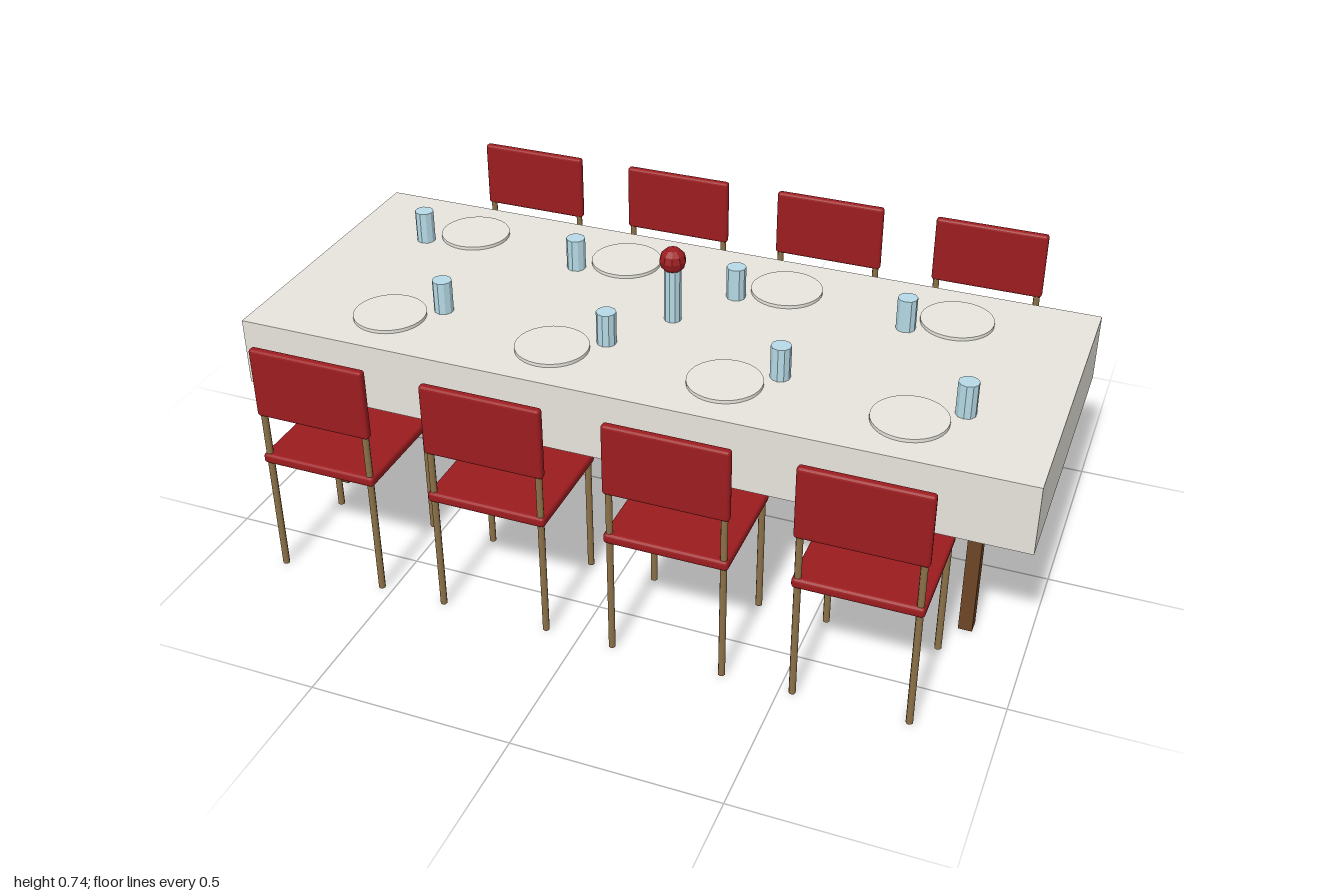
import * as THREE from 'three';
import { RoundedBoxGeometry } from 'three/addons/geometries/RoundedBoxGeometry.js';

const mat = (name, color, extra = {}) => {
  const m = new THREE.MeshStandardMaterial({ color, ...extra });
  m.name = name;
  return m;
};

export function createModel() {
  const linen = mat('linen', 0xe7e4dd, { side: THREE.DoubleSide });
  const china = mat('china', 0xe7e5dd);
  const wood = mat('wood', 0x6d4526);
  const brass = mat('brass', 0x8c7148);
  const red = mat('red', 0x9b1c1f, { flatShading: true });
  const glass = mat('glass', 0xb6dae6, { flatShading: true });

  const model = new THREE.Group();
  model.name = 'diningSet';

  const add = (parent, name, geometry, material, x, y, z) => {
    const mesh = new THREE.Mesh(geometry, material);
    mesh.name = name;
    mesh.position.set(x, y, z);
    parent.add(mesh);
    return mesh;
  };

  // Tablecloth: a box shell with its bottom face left out
  const clothShape = new THREE.BoxGeometry(2, 0.179, 0.79);
  const faces = Array.from(clothShape.index.array);
  faces.splice(18, 6);
  clothShape.setIndex(faces);
  clothShape.clearGroups();
  add(model, 'tablecloth', clothShape, linen, 0, 0.4505, 0);

  // Table board and legs under the cloth
  add(model, 'tableBoard', new THREE.BoxGeometry(1.78, 0.02, 0.58), wood, 0, 0.525, 0);
  const tableLeg = new THREE.BoxGeometry(0.034, 0.52, 0.036);
  for (const x of [-0.85, 0.85]) {
    for (const z of [-0.247, 0.247]) add(model, 'tableLeg', tableLeg, wood, x, 0.26, z);
  }

  // Shared chair and place-setting shapes
  const seat = new RoundedBoxGeometry(0.3, 0.027, 0.296, 2, 0.009);
  const backrest = new RoundedBoxGeometry(0.3, 0.184, 0.022, 2, 0.008);
  const frontLeg = new THREE.CylinderGeometry(0.0085, 0.0085, 0.315, 8);
  const backLeg = new THREE.CylinderGeometry(0.0085, 0.0085, 0.46, 8);
  const plate = new THREE.CylinderGeometry(0.092, 0.092, 0.009, 32);
  const tumbler = new THREE.CylinderGeometry(0.025, 0.025, 0.086, 10);

  const makeChair = () => {
    const chair = new THREE.Group();
    chair.name = 'chair';
    add(chair, 'seat', seat, red, 0, 0.3215, 0.485);
    add(chair, 'backrest', backrest, red, 0, 0.535, 0.621);
    for (const x of [-0.137, 0.137]) {
      add(chair, 'frontLeg', frontLeg, brass, x, 0.1575, 0.35);
      add(chair, 'backLeg', backLeg, brass, x, 0.23, 0.62);
    }
    return chair;
  };

  // Four places on each long side; the far side is turned half round
  for (const turn of [0, Math.PI]) {
    const side = new THREE.Group();
    side.name = turn ? 'backPlaces' : 'frontPlaces';
    side.rotation.y = turn;
    for (let i = 0; i < 4; i++) {
      const x = (i - 1.5) * 0.445;
      const chair = makeChair();
      chair.position.x = x;
      side.add(chair);
      add(side, 'plate', plate, china, x, 0.5445, 0.238);
      add(side, 'drinkingGlass', tumbler, glass, x + 0.113, 0.583, 0.165);
    }
    model.add(side);
  }

  // Centrepiece
  add(model, 'vase', new THREE.CylinderGeometry(0.022, 0.022, 0.142, 10), glass, 0, 0.611, 0);
  add(model, 'flower', new THREE.SphereGeometry(0.034, 10, 6), red, 0, 0.706, 0);

  return model;
}
